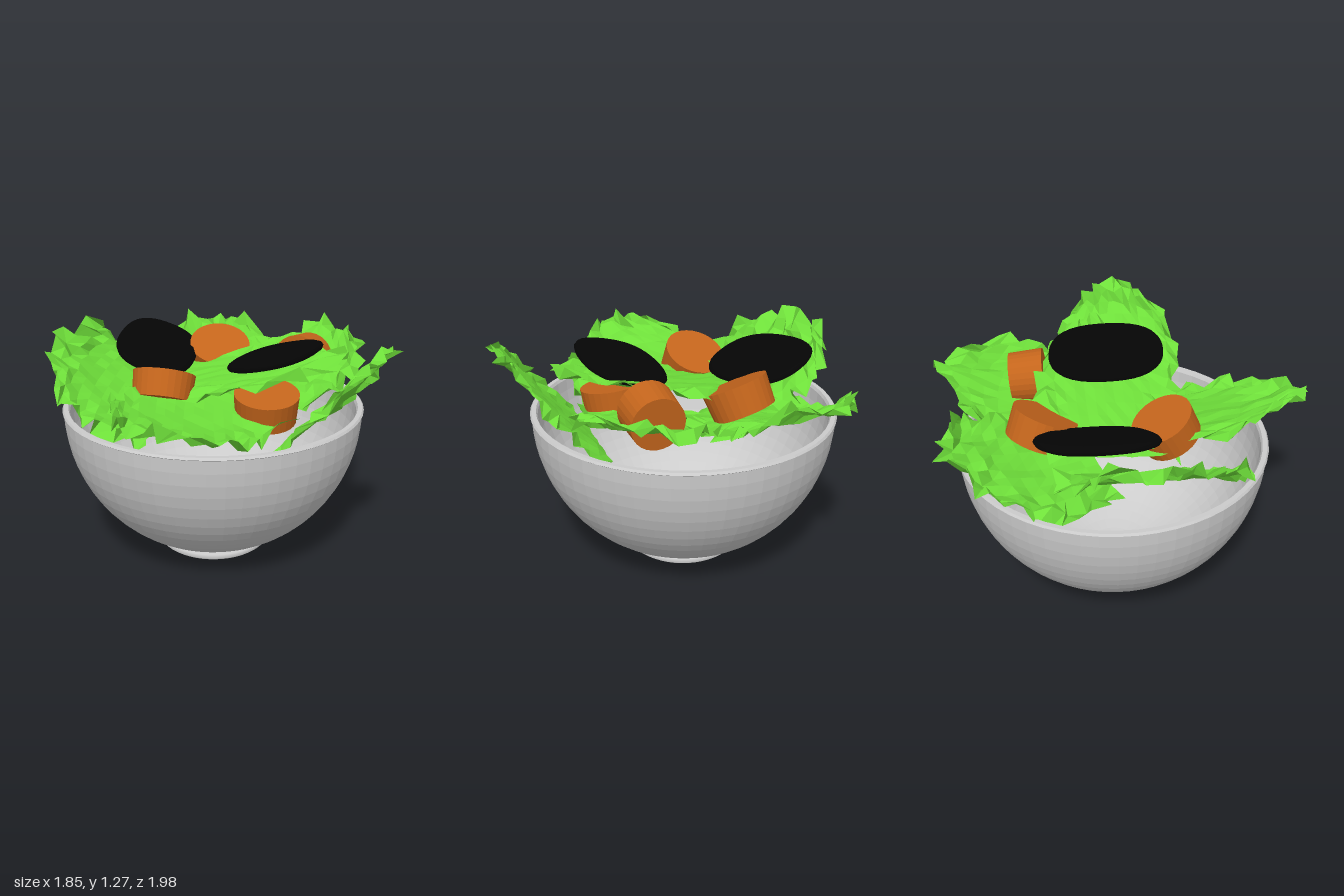
import * as THREE from 'three';

const mat = (color, flat = false) =>
  new THREE.MeshStandardMaterial({ color, flatShading: flat, side: THREE.DoubleSide });
const V = (a) => new THREE.Vector3(...a);

function seeded(seed) {
  let s = seed;
  return () => ((s = (s * 16807) % 2147483647) / 2147483647);
}

// Crinkled leaf along a sagging spine; frill grows towards the edges and tip
function leaf({ root, tip, width, sag = 0.05, twist = 0, frill = 0.07, base = 0.8, taper = 0.3, seed }) {
  const rnd = seeded(seed * 7919 + 17), nu = 11, nv = 14;
  for (let i = 0; i < 5; i++) rnd();
  const r = V(root), t = V(tip), dir = t.clone().sub(r).normalize();
  const side = new THREE.Vector3().crossVectors(dir, V([0, 1, 0])).normalize().applyAxisAngle(dir, twist);
  const up = new THREE.Vector3().crossVectors(side, dir);
  const pos = [], index = [];
  for (let i = 0; i <= nu; i++) {
    for (let j = 0; j <= nv; j++) {
      const u = i / nu, v = (j / nv) * 2 - 1;
      const edge = Math.max(Math.abs(v) ** 4, u ** 5);
      const w = (width / 2) * (base + (1 - base) * Math.sin(Math.min(1, u * 1.7) * Math.PI / 2));
      const p = r.clone().lerp(t, u * (1 - 0.24 * v * v * u));
      p.addScaledVector(side, v * w * (1 - taper * u ** 3) + (rnd() - 0.5) * frill * 0.9 * edge);
      p.addScaledVector(up, (rnd() - 0.5) * frill * (0.15 + 1.4 * edge) - sag * Math.sin(Math.PI * u));
      p.addScaledVector(dir, (rnd() - 0.6) * frill * edge);
      pos.push(p.x, p.y, p.z);
      if (i < nu && j < nv) {
        const a = i * (nv + 1) + j, b = a + nv + 1;
        index.push(a, a + 1, b, b, a + 1, b + 1);
      }
    }
  }
  const g = new THREE.BufferGeometry();
  g.setAttribute('position', new THREE.Float32BufferAttribute(pos, 3));
  g.setIndex(index);
  g.computeVertexNormals();
  return g;
}

export function createModel() {
  const model = new THREE.Group();
  const add = (name, geometry, material, parent = model) => {
    const m = new THREE.Mesh(geometry, material);
    m.name = name;
    parent.add(m);
    return m;
  };

  // Bowl: rounded outer wall, rim and inner wall in one profile
  const bowl = new THREE.Group();
  bowl.name = 'bowl';
  bowl.position.set(-0.085, 0, -0.055);
  model.add(bowl);
  const wall = (rad, floor, n = 18) => Array.from({ length: n + 1 }, (_, i) => {
    const a = (i / n) * Math.PI / 2;
    return new THREE.Vector2(rad * Math.sin(a) ** 0.95, 0.81 - (0.81 - floor) * Math.cos(a));
  });
  const profile = [...wall(0.803, 0.015), new THREE.Vector2(0.81, 0.815), new THREE.Vector2(0.802, 0.826),
    new THREE.Vector2(0.778, 0.826), ...wall(0.77, 0.055).reverse()];
  add('bowlShell', new THREE.LatheGeometry(profile, 56), mat(0xcccccc, true), bowl);

  // Foot ring
  const foot = [[0.18, 0.02], [0.19, 0.005], [0.22, 0], [0.28, 0.003], [0.3, 0.018], [0.285, 0.033], [0.2, 0.037]];
  add('foot', new THREE.LatheGeometry(foot.map((p) => new THREE.Vector2(...p)), 48), mat(0xcccccc), bowl);

  // Lettuce leaves fanned around the bowl, plus one across the middle
  const green = mat(0x6fe03a, true);
  const leaves = {
    backRightLeaf: { root: [-0.22, 0.82, -0.18], tip: [-0.6, 1.06, -0.87], width: 0.9, twist: -0.18, frill: 0.09, taper: 0.35, seed: 3 },
    backLeaf: { root: [0.16, 0.84, -0.08], tip: [0.22, 1.09, -0.97], width: 0.84, sag: 0.03, twist: -0.14, frill: 0.08, seed: 5 },
    leftLeaf: { root: [0.4, 0.7, -0.02], tip: [0.9, 1.26, -0.01], width: 0.72, sag: 0.02, frill: 0.06, base: 0.95, taper: 0.32, seed: 8 },
    frontLeaf: { root: [0.05, 0.89, -0.02], tip: [-0.01, 1.03, 0.97], width: 0.86, twist: -0.2, base: 0.9, taper: 0.5, seed: 11 },
    rightLeaf: { root: [-0.34, 0.76, 0.04], tip: [-0.88, 1.17, 0.26], width: 0.98, sag: 0.04, twist: -0.2, frill: 0.08, taper: 0.22, seed: 14 },
    middleLeaf: { root: [-0.42, 0.92, -0.06], tip: [0.63, 1.15, -0.14], width: 0.74, sag: 0.01, twist: 0.1, frill: 0.06, base: 0.85, seed: 21 },
  };
  for (const [name, spec] of Object.entries(leaves)) add(name, leaf(spec), green);

  // Carrot chunks: centre, axis, radius, thickness
  const orange = mat(0xc4651c, true);
  const carrots = [
    [[-0.24, 0.98, -0.42], [0.25, 0.85, 0.35], 0.17, 0.15],
    [[0.25, 0.99, -0.5], [0, 0.1, 1], 0.145, 0.18],
    [[-0.24, 0.96, 0.21], [-0.12, 0.88, -0.45], 0.165, 0.14],
    [[0.27, 0.88, 0.03], [0.1, 0.95, 0.15], 0.17, 0.15],
  ];
  carrots.forEach(([c, axis, r, h], i) => {
    const m = add('carrot' + (i + 1), new THREE.CylinderGeometry(r, r * 0.94, h, 28), orange);
    m.position.set(...c);
    m.quaternion.setFromUnitVectors(V([0, 1, 0]), V(axis).normalize());
  });

  // Dark oval slices with rounded rims: centre, normal, turn
  const black = mat(0x050505);
  const rim = [[0, -0.026], [0.19, -0.026], [0.213, -0.014], [0.22, 0], [0.213, 0.014], [0.19, 0.026], [0, 0.026]];
  const slices = [
    [[-0.48, 1.06, -0.14], [0.36, 0.92, 0.03], 0.32],
    [[0.27, 1.12, -0.08], [-0.24, 0.96, -0.04], 0],
  ];
  slices.forEach(([c, n, turn], i) => {
    const g = new THREE.LatheGeometry(rim.map((p) => new THREE.Vector2(...p)), 40);
    // Stretch to a squarish oval
    const p = g.attributes.position;
    for (let k = 0; k < p.count; k++) {
      const x = p.getX(k), z = p.getZ(k), rad = Math.hypot(x, z) || 1;
      const s = 1 + 0.28 * (x * z / (rad * rad)) ** 2;
      p.setX(k, x * s);
      p.setZ(k, z * s * 1.4);
    }
    g.rotateY(turn);
    g.computeVertexNormals();
    const m = add('darkSlice' + (i + 1), g, black);
    m.position.set(...c);
    m.quaternion.setFromUnitVectors(V([0, 1, 0]), V(n).normalize());
  });
  return model;
}
